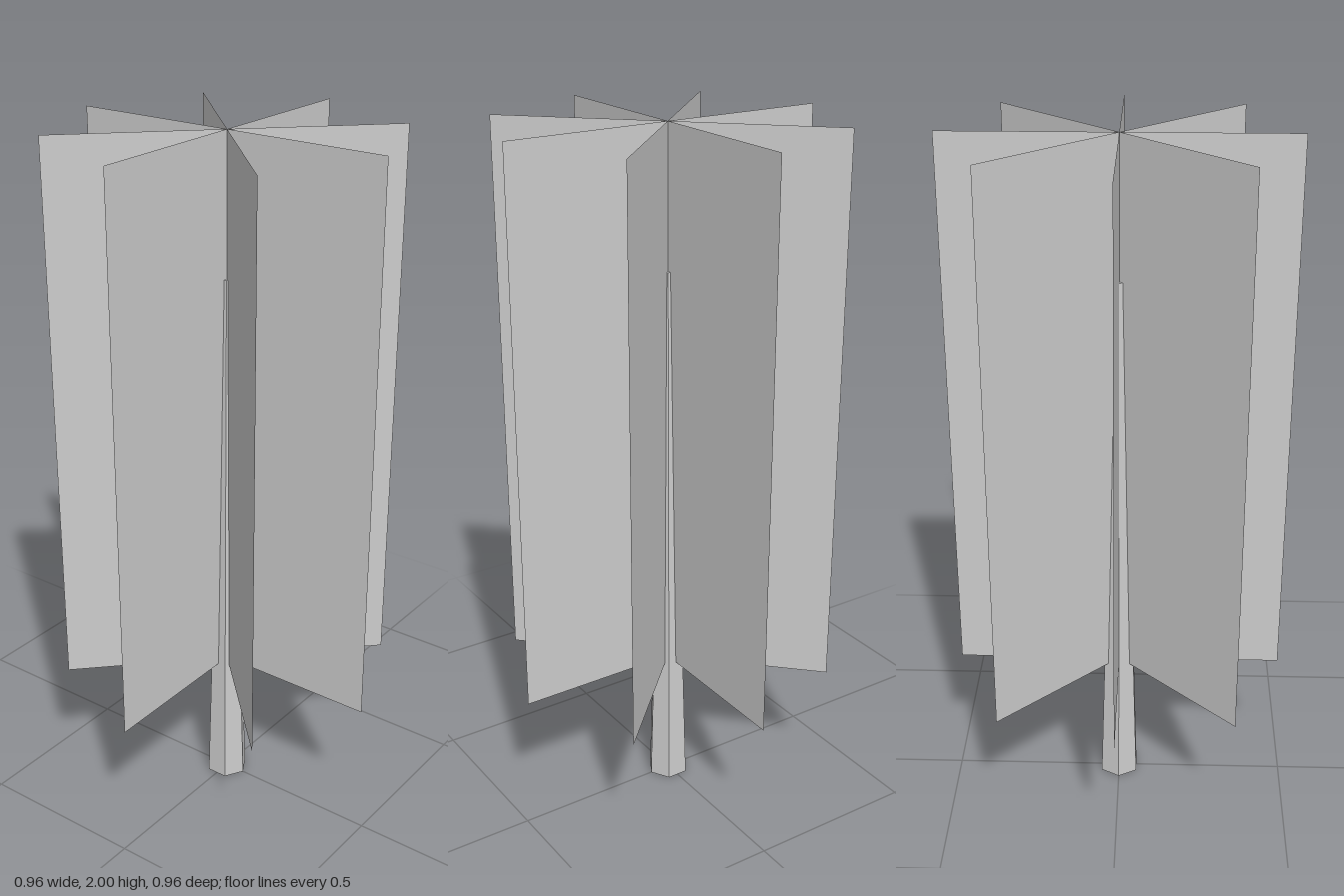
import * as THREE from 'three';

export function createModel() {
  const model = new THREE.Group();
  model.name = 'tree';

  // Tapered six-sided trunk
  const trunkHeight = 1.6;
  const trunk = new THREE.Mesh(
    new THREE.CylinderGeometry(0.015, 0.062, trunkHeight, 6),
    new THREE.MeshStandardMaterial({ color: 0xcccccc, flatShading: true })
  );
  trunk.name = 'trunk';
  trunk.position.y = trunkHeight / 2;
  model.add(trunk);

  // Four upright foliage cards crossing on the trunk axis
  const foliage = new THREE.Group();
  foliage.name = 'foliage';
  const cardGeometry = new THREE.PlaneGeometry(0.96, 1.6);
  const cardMaterial = new THREE.MeshStandardMaterial({ color: 0xcccccc, side: THREE.DoubleSide });
  const cardCount = 4;
  for (let i = 0; i < cardCount; i++) {
    const card = new THREE.Mesh(cardGeometry, cardMaterial);
    card.name = `foliageCard${i + 1}`;
    card.position.y = 1.2;
    card.rotation.y = (i * Math.PI) / cardCount;
    foliage.add(card);
  }
  model.add(foliage);

  return model;
}
